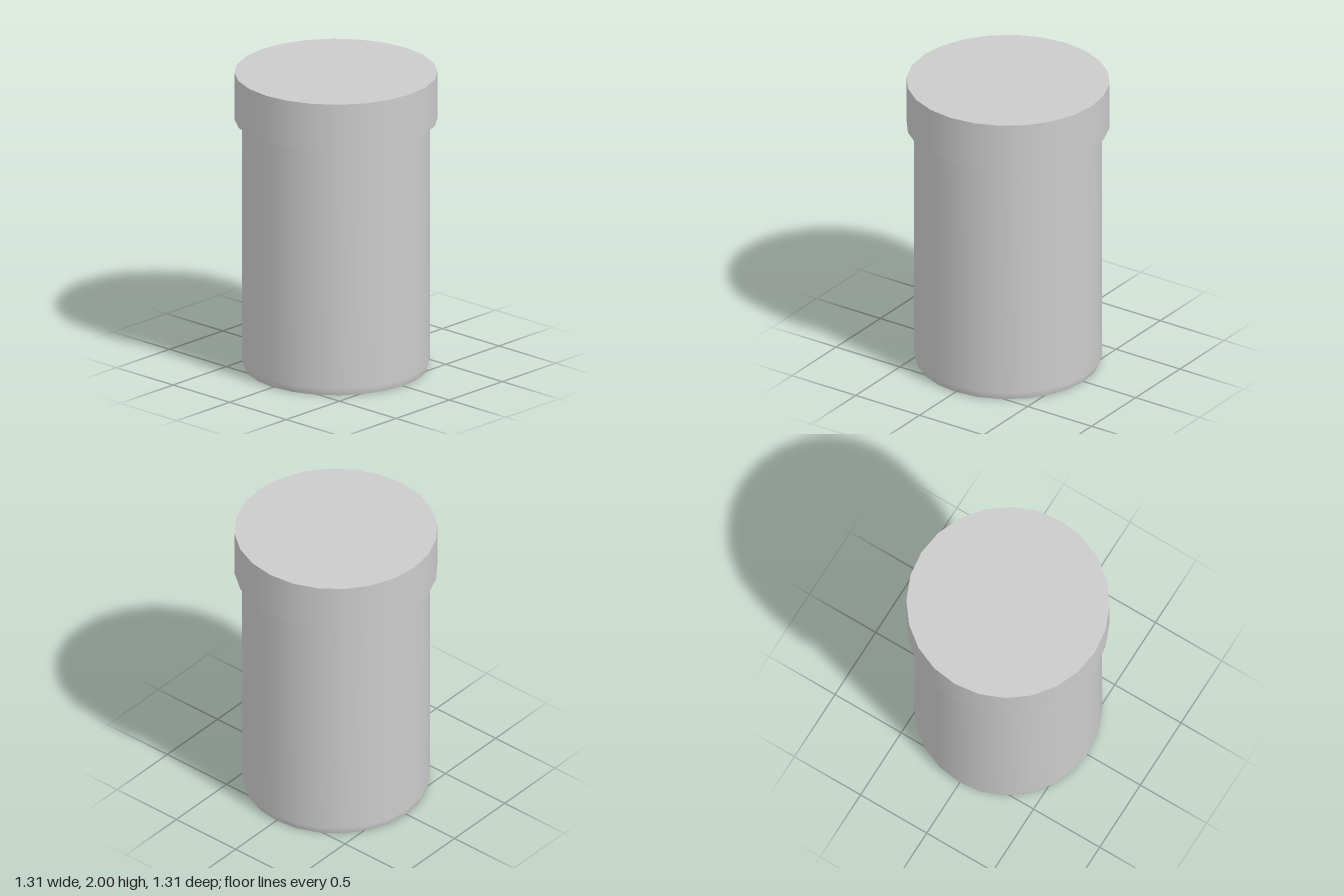
import * as THREE from 'three';

const SIDES = 24;

export function createModel() {
  const model = new THREE.Group();
  model.name = 'lidded canister';
  const material = new THREE.MeshStandardMaterial({ color: 0xcccccc });

  const add = (parent, name, geometry, y = 0) => {
    const mesh = new THREE.Mesh(geometry, material);
    mesh.name = name;
    mesh.position.y = y;
    parent.add(mesh);
    return mesh;
  };

  // Body: smooth wall tapering in slightly at the foot, with a flat base
  const body = new THREE.Group();
  body.name = 'body';
  model.add(body);
  const profile = [[0.592, 0], [0.607, 0.05], [0.607, 1.69]]
    .map(([r, y]) => new THREE.Vector2(r, y));
  add(body, 'bodyWall', new THREE.LatheGeometry(profile, SIDES));
  add(body, 'base', new THREE.CircleGeometry(0.592, SIDES).rotateX(Math.PI / 2));

  // Lid: wider flat-topped disc overhanging the body
  const lidHeight = 0.317;
  add(model, 'lid', new THREE.CylinderGeometry(0.655, 0.655, lidHeight, SIDES), 2 - lidHeight / 2);

  return model;
}
